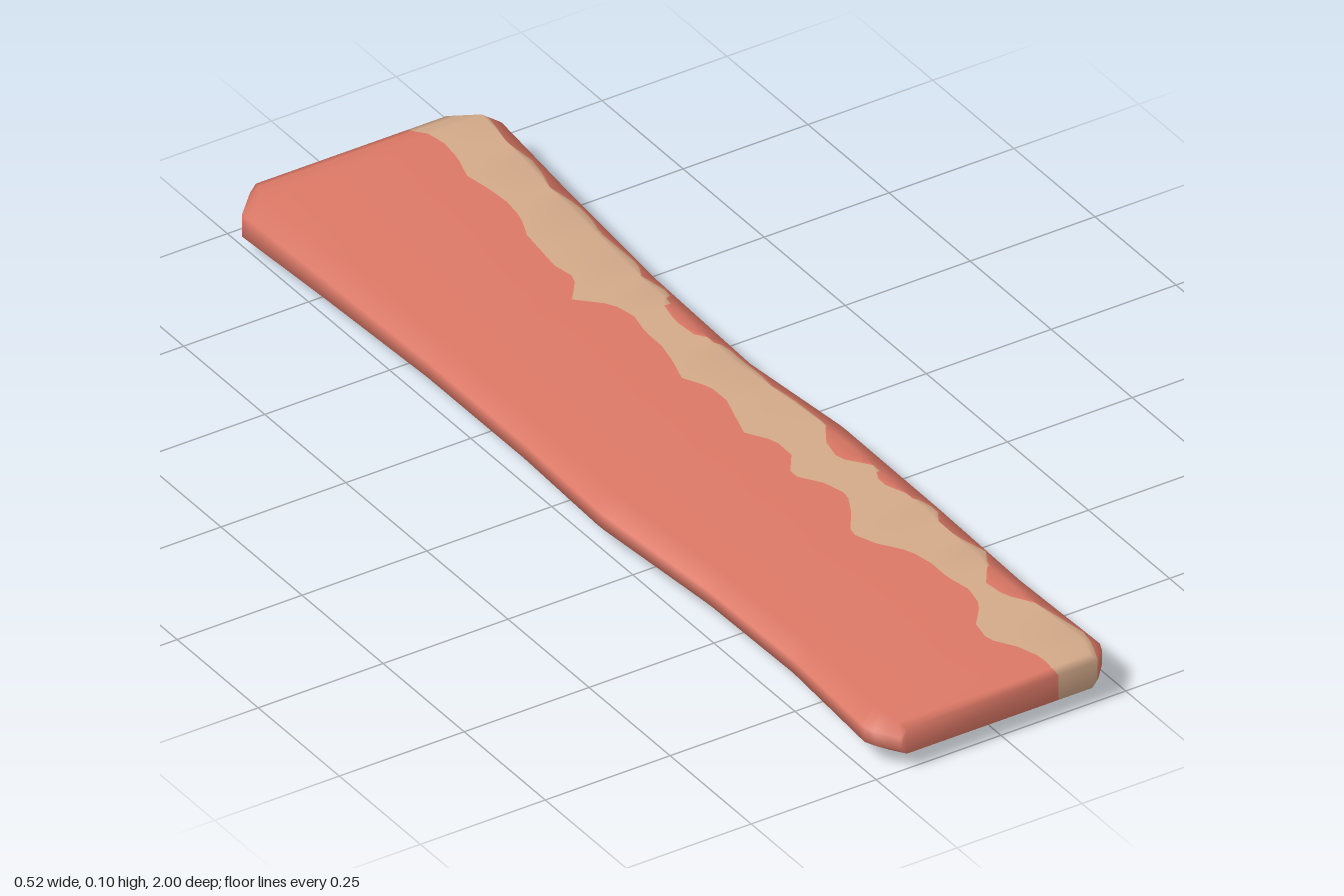
import * as THREE from 'three';

// Cross-section stations along the strip: z, left x, right x, bottom y, top y, chamfer width
const STATIONS = [
  [-1.0, -0.205, 0.2, 0.03, 0.08, 0.012],
  [-0.94, -0.26, 0.26, 0.0, 0.105, 0.04],
  [-0.7, -0.25, 0.24, 0.008, 0.098, 0.04],
  [-0.4, -0.24, 0.22, 0.016, 0.09, 0.035],
  [-0.1, -0.24, 0.212, 0.018, 0.088, 0.035],
  [0.15, -0.25, 0.235, 0.02, 0.09, 0.038],
  [0.45, -0.225, 0.236, 0.021, 0.085, 0.035],
  [0.7, -0.22, 0.232, 0.02, 0.083, 0.035],
  [0.95, -0.235, 0.237, 0.017, 0.088, 0.035],
  [1.0, -0.2, 0.195, 0.03, 0.08, 0.012],
];

// Wavy fat-stripe edges, sampled every 0.05 from z = -1 to z = 1
const STRIPE_LEFT = [
  0.11, 0.11, 0.12, 0.115, 0.1, 0.11, 0.115, 0.11, 0.09, 0.085,
  0.08, 0.09, 0.05, 0.1, 0.11, 0.1, 0.1, 0.09, 0.075, 0.1,
  0.1, 0.085, 0.07, 0.1, 0.1, 0.065, 0.1, 0.115, 0.09, 0.055,
  0.075, 0.11, 0.12, 0.12, 0.13, 0.12, 0.08, 0.07, 0.1, 0.115, 0.115,
];
const STRIPE_RIGHT = [
  0.2, 0.235, 0.225, 0.21, 0.23, 0.22, 0.2, 0.225, 0.22, 0.205,
  0.21, 0.215, 0.19, 0.215, 0.17, 0.16, 0.165, 0.2, 0.2, 0.2,
  0.19, 0.2, 0.2, 0.2, 0.17, 0.16, 0.2, 0.18, 0.2, 0.23,
  0.2, 0.2, 0.23, 0.2, 0.165, 0.17, 0.2, 0.215, 0.23, 0.215, 0.2,
];

const lerp = THREE.MathUtils.lerp;

function sampleStripe(list, z) {
  const f = (z + 1) * 20;
  const i = Math.min(Math.floor(f), list.length - 2);
  return lerp(list[i], list[i + 1], f - i);
}

function sampleStation(z) {
  let i = 0;
  while (i < STATIONS.length - 2 && z > STATIONS[i + 1][0]) i++;
  const a = STATIONS[i], b = STATIONS[i + 1];
  const t = (z - a[0]) / (b[0] - a[0]);
  return a.map((v, k) => lerp(v, b[k], t));
}

export function createModel() {
  const meat = new THREE.MeshStandardMaterial({ color: 0xdc7866 });
  meat.name = 'meat red';
  const fat = new THREE.MeshStandardMaterial({ color: 0xd4aa8a });
  fat.name = 'fat tan';

  const ROWS = 100, COLS = 6, RING = COLS * 2;
  const positions = [], overEdge = [];

  // Rings: six columns across the top, then six back along the underside
  for (let i = 0; i <= ROWS; i++) {
    const z = -1 + (2 * i) / ROWS;
    const [, xl, xr, yb, yt, c] = sampleStation(z);
    const edge = xr - c, drop = (yt - yb) * 0.29;
    const left = sampleStripe(STRIPE_LEFT, z);
    const right = Math.min(sampleStripe(STRIPE_RIGHT, z), xr - 0.002);
    const outer = Math.max(right, edge);
    const slope = (drop * (outer - edge)) / c;
    overEdge.push(right > edge);
    const half = [
      [xl, drop], [xl + c, 0], [left, 0],
      [Math.min(right, edge), 0], [outer, slope], [xr, drop],
    ];
    for (const [x, d] of half) positions.push(x, yt - d, z);
    for (const [x, d] of half.reverse()) positions.push(x, yb + d, z);
  }

  const red = [], tan = [];
  const target = (col, row) => (col === 2 || (col === 3 && overEdge[row]) ? tan : red);

  // Skin between neighbouring rings
  for (let i = 0; i < ROWS; i++) {
    for (let j = 0; j < RING; j++) {
      const k = (j + 1) % RING;
      const a = i * RING + j, b = i * RING + k;
      const col = j < COLS ? j : RING - 2 - j;
      target(col, i).push(a, a + RING, b, b, a + RING, b + RING);
    }
  }

  // End faces
  for (const row of [0, ROWS]) {
    for (let j = 0; j < COLS - 1; j++) {
      const o = row * RING;
      const a = o + j, b = o + j + 1, c = o + RING - 1 - j, d = c - 1;
      const faces = row ? [a, c, b, b, c, d] : [a, b, c, b, d, c];
      target(j, row).push(...faces);
    }
  }

  const geometry = new THREE.BufferGeometry();
  geometry.setAttribute('position', new THREE.Float32BufferAttribute(positions, 3));
  geometry.setIndex([...red, ...tan]);
  geometry.addGroup(0, red.length, 0);
  geometry.addGroup(red.length, tan.length, 1);
  geometry.computeVertexNormals();

  const strip = new THREE.Mesh(geometry, [meat, fat]);
  strip.name = 'baconStrip';

  const group = new THREE.Group();
  group.name = 'bacon';
  group.add(strip);
  return group;
}
